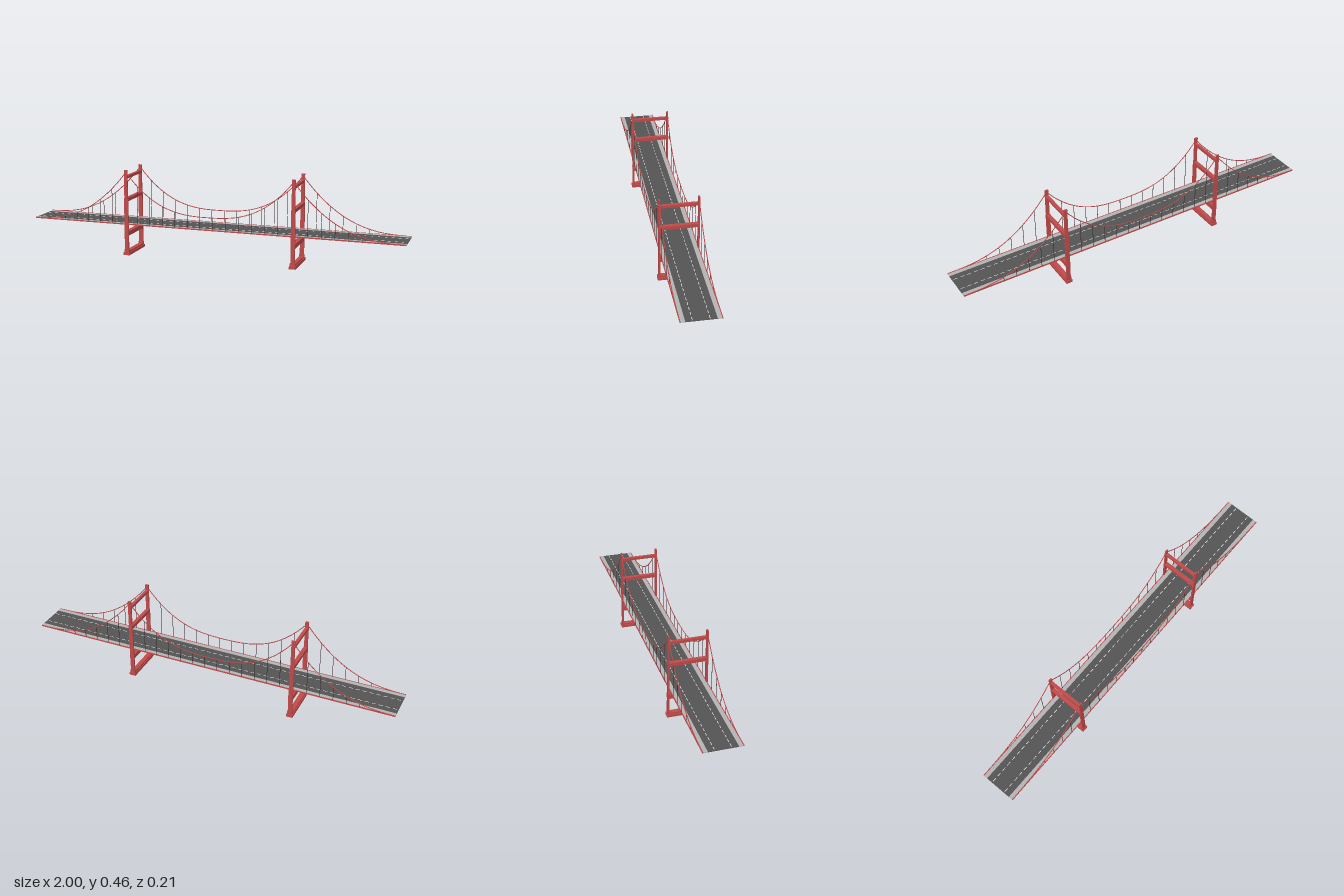
import * as THREE from 'three';

const mat = (name, color) => Object.assign(new THREE.MeshStandardMaterial({ color }), { name });

export function createModel() {
  const red = mat('towerRed', 0xc04a4a);
  const asphalt = mat('asphalt', 0x545454);
  const concrete = mat('concrete', 0xb4b4b4);
  const white = mat('laneWhite', 0xf0f0f0);
  const dark = mat('hangerDark', 0x3a2a2a);
  const bridge = new THREE.Group();
  bridge.name = 'suspensionBridge';

  // Box given by its centre x and z, bottom and top heights
  function box(parent, name, material, x, y0, y1, z, w, d) {
    const m = new THREE.Mesh(new THREE.BoxGeometry(w, y1 - y0, d), material);
    m.position.set(x, (y0 + y1) / 2, z);
    m.name = name;
    parent.add(m);
    return m;
  }

  const towers = [-0.464, 0.438];
  const mid = (towers[0] + towers[1]) / 2, half = (towers[1] - towers[0]) / 2;
  const top = 0.443, deckTop = 0.168, cableZ = 0.096;

  // Deck: road, pavements and edge beams
  box(bridge, 'road', asphalt, 0, 0.164, 0.167, 0, 2, 0.146);
  for (const s of [-1, 1]) {
    box(bridge, 'pavement', concrete, 0, 0.164, deckTop, s * 0.0835, 2, 0.021);
    box(bridge, 'edgeBeam', red, 0, 0.163, 0.169, s * 0.096, 2, 0.004);
  }

  // Dashed lane lines
  const dashCount = 56, step = 2 / dashCount;
  const dashes = new THREE.InstancedMesh(new THREE.BoxGeometry(step * 0.6, 0.0006, 0.003), white, 1);
  for (const z of [-0.04, 0.04]) {
    for (let i = 0; i < dashCount; i++) {
      const m = new THREE.Mesh(dashes.geometry, white);
      m.name = 'laneDash';
      m.position.set(-1 + (i + 0.5) * step, 0.1672, z);
      bridge.add(m);
    }
  }

  // Towers: footing, two legs and cross beams
  for (const x of towers) {
    const tower = new THREE.Group();
    tower.name = 'tower';
    tower.position.x = x;
    bridge.add(tower);
    box(tower, 'footing', red, 0, 0, 0.014, 0, 0.034, 0.212);
    box(tower, 'footingStep', red, 0, 0.014, 0.022, 0, 0.024, 0.2);
    for (const s of [-1, 1]) {
      box(tower, 'legFoot', red, 0, 0.014, 0.03, s * 0.096, 0.027, 0.01);
      box(tower, 'lowerLeg', red, 0, 0.02, 0.3, s * 0.0965, 0.022, 0.008);
      box(tower, 'upperLeg', red, 0, 0.3, 0.455, s * 0.0965, 0.018, 0.008);
    }
    for (const [y0, y1, w] of [[0.105, 0.128, 0.024], [0.289, 0.307, 0.02], [0.41, 0.424, 0.016]]) {
      box(tower, 'crossBeam', red, 0, y0, y1, 0, w, 0.202);
    }
  }

  // Height of the main cable at x
  function cableY(x) {
    if (Math.abs(x - mid) <= half) {
      return 0.232 + (top - 0.232) * Math.pow(Math.abs(x - mid) / half, 2.7);
    }
    const u = (1 - (x < mid ? towers[0] - x : x - towers[1]) / 0.54);
    return deckTop + (top - deckTop) * Math.pow(Math.max(u, 0), 2.5);
  }

  // Main cables, one tube per span
  const spans = [[towers[0] - 0.535, towers[0]], towers, [towers[1], towers[1] + 0.535]];
  for (const s of [-1, 1]) {
    for (const [a, b] of spans) {
      const pts = [];
      for (let i = 0; i <= 32; i++) {
        const x = a + (b - a) * i / 32;
        pts.push(new THREE.Vector3(x, cableY(x), s * cableZ));
      }
      const tube = new THREE.TubeGeometry(new THREE.CatmullRomCurve3(pts), 64, 0.0022, 6);
      const cable = new THREE.Mesh(tube, red);
      cable.name = 'mainCable';
      bridge.add(cable);
    }
  }

  // Hangers from the cable to the deck
  const hangers = [];
  for (let i = 0; i < 12; i++) hangers.push(-0.401 + i * 0.069);
  for (let i = 0; i < 5; i++) hangers.push(-0.545 - i * 0.069, 0.512 + i * 0.069);
  for (const x of hangers) {
    for (const s of [-1, 1]) {
      box(bridge, 'hanger', dark, x, 0.166, cableY(x), s * cableZ, 0.002, 0.002);
    }
  }
  return bridge;
}
